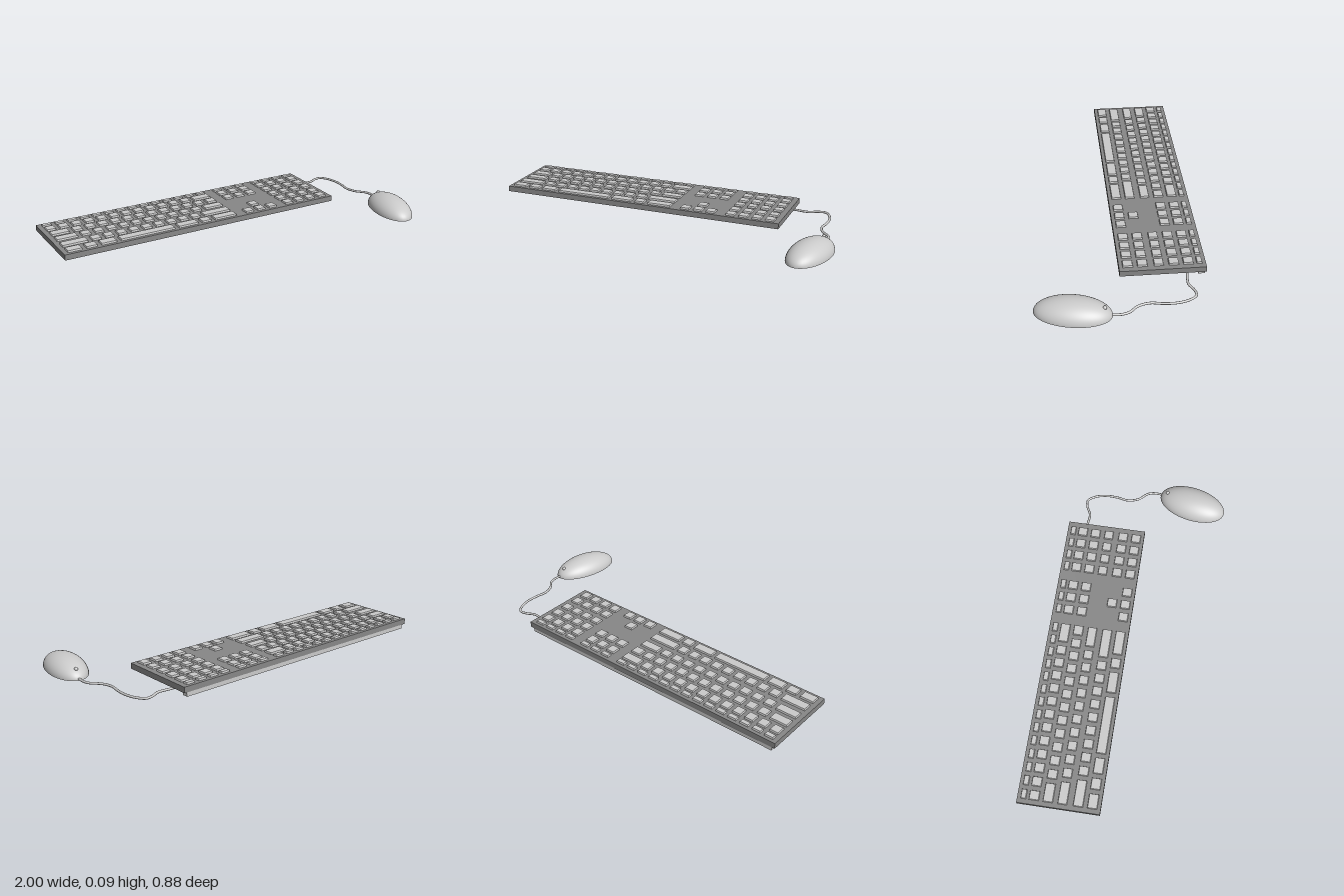
import * as THREE from 'three';

const light = new THREE.MeshStandardMaterial({ color: 0xcccccc });
const lightFlat = new THREE.MeshStandardMaterial({ color: 0xcccccc, flatShading: true });
const dark = new THREE.MeshStandardMaterial({ color: 0x888888, flatShading: true });

function add(parent, name, geometry, material, x = 0, y = 0, z = 0) {
  const mesh = new THREE.Mesh(geometry, material);
  mesh.name = name;
  mesh.position.set(x, y, z);
  parent.add(mesh);
  return mesh;
}

// Keycap: a box whose top face is drawn in slightly
function keyGeometry(w, h, d) {
  const geo = new THREE.BoxGeometry(w, h, d);
  const p = geo.attributes.position;
  for (let i = 0; i < p.count; i++) {
    if (p.getY(i) > 0) {
      p.setX(i, p.getX(i) - Math.sign(p.getX(i)) * 0.003);
      p.setZ(i, p.getZ(i) - Math.sign(p.getZ(i)) * 0.003);
    }
  }
  geo.computeVertexNormals();
  return geo;
}

const GAP = 0.022, KEY = 0.052, LEFT = -0.976, RIGHT = 0.02;

// Rows from back to front: [z centre, depth, leading key widths, count of plain keys]
// The last key of each main row stretches to the right edge of the block.
const ROWS = [
  { z: -0.41, d: 0.03, first: 0.052, plain: 12 },
  { z: -0.354, d: 0.054, first: 0.052, plain: 11 },
  { z: -0.28, d: 0.054, first: 0.102, plain: 11 },
  { z: -0.203, d: 0.051, first: 0.12, plain: 10 },
  { z: -0.12, d: 0.054, first: 0.143, plain: 9 },
  { z: -0.045, d: 0.054, widths: [0.08, 0.062, 0.088, 0.318, 0.12, 0.058] },
];

function buildKeys() {
  const keys = new THREE.Group();
  keys.name = 'keys';
  const key = (x0, x1, row, name) =>
    add(keys, name, keyGeometry(x1 - x0, 0.012, row.d), lightFlat, (x0 + x1) / 2, 0.06, row.z);

  ROWS.forEach((row, r) => {
    // Main block
    const widths = row.widths ?? [row.first, ...Array(row.plain).fill(KEY)];
    const gap = r === 0 ? 0.0206 : GAP;
    let x = LEFT;
    for (const w of widths) {
      key(x, x + w, row, 'mainKey');
      x += w + gap;
    }
    key(x, RIGHT, row, 'rowEndKey');

    // Navigation block and arrows
    const nav = [[0, 1, 2], [0, 1, 2], [0, 1, 2], [], [1], [0, 1, 2]][r];
    for (const c of nav) key(0.081 + c * 0.075, 0.133 + c * 0.075, row, 'navigationKey');

    // Number pad
    for (let c = 0; c < 4; c++) key(0.344 + c * 0.075, 0.396 + c * 0.075, row, 'numberPadKey');
  });
  return keys;
}

function buildMouse() {
  const mouse = new THREE.Group();
  mouse.name = 'mouse';
  mouse.position.set(0.887, 0.012, 0.248);
  mouse.rotation.y = -0.2;

  // Domed shell
  const shell = add(mouse, 'mouseShell',
    new THREE.SphereGeometry(1, 48, 20, 0, Math.PI * 2, 0, Math.PI / 2), light);
  shell.scale.set(0.103, 0.081, 0.194);

  // Shallow underside
  const base = add(mouse, 'mouseBase',
    new THREE.SphereGeometry(1, 48, 8, 0, Math.PI * 2, Math.PI / 2, Math.PI / 2), dark);
  base.scale.set(0.101, 0.005, 0.19);

  // Small button near the cable end
  add(mouse, 'mouseButton', new THREE.SphereGeometry(0.01, 16, 12), light, 0, 0.05, -0.155);
  return mouse;
}

export function createModel() {
  const model = new THREE.Group();
  model.name = 'keyboardAndMouse';

  const keyboard = new THREE.Group();
  keyboard.name = 'keyboard';
  model.add(keyboard);
  add(keyboard, 'keyboardTray', new THREE.BoxGeometry(1.65, 0.031, 0.443), dark, -0.175, 0.041, -0.2215);

  // Rear foot bar with a slightly wider top lip
  add(keyboard, 'rearFoot', new THREE.BoxGeometry(1.61, 0.02, 0.034), lightFlat, -0.175, 0.01, -0.421);
  add(keyboard, 'rearFootLip', new THREE.BoxGeometry(1.62, 0.006, 0.038), lightFlat, -0.175, 0.023, -0.421);
  keyboard.add(buildKeys());

  // Cable from beneath the tray to the nose of the mouse
  const path = [
    [0.58, -0.343], [0.65, -0.343], [0.73, -0.337], [0.78, -0.36], [0.82, -0.363],
    [0.85, -0.325], [0.867, -0.26], [0.865, -0.19], [0.856, -0.13], [0.873, -0.07],
    [0.915, -0.02], [0.926, 0.02], [0.922, 0.08],
  ].map(([x, z]) => new THREE.Vector3(x, 0.02, z));
  add(model, 'cable',
    new THREE.TubeGeometry(new THREE.CatmullRomCurve3(path), 90, 0.0065, 10), light);

  model.add(buildMouse());
  return model;
}
